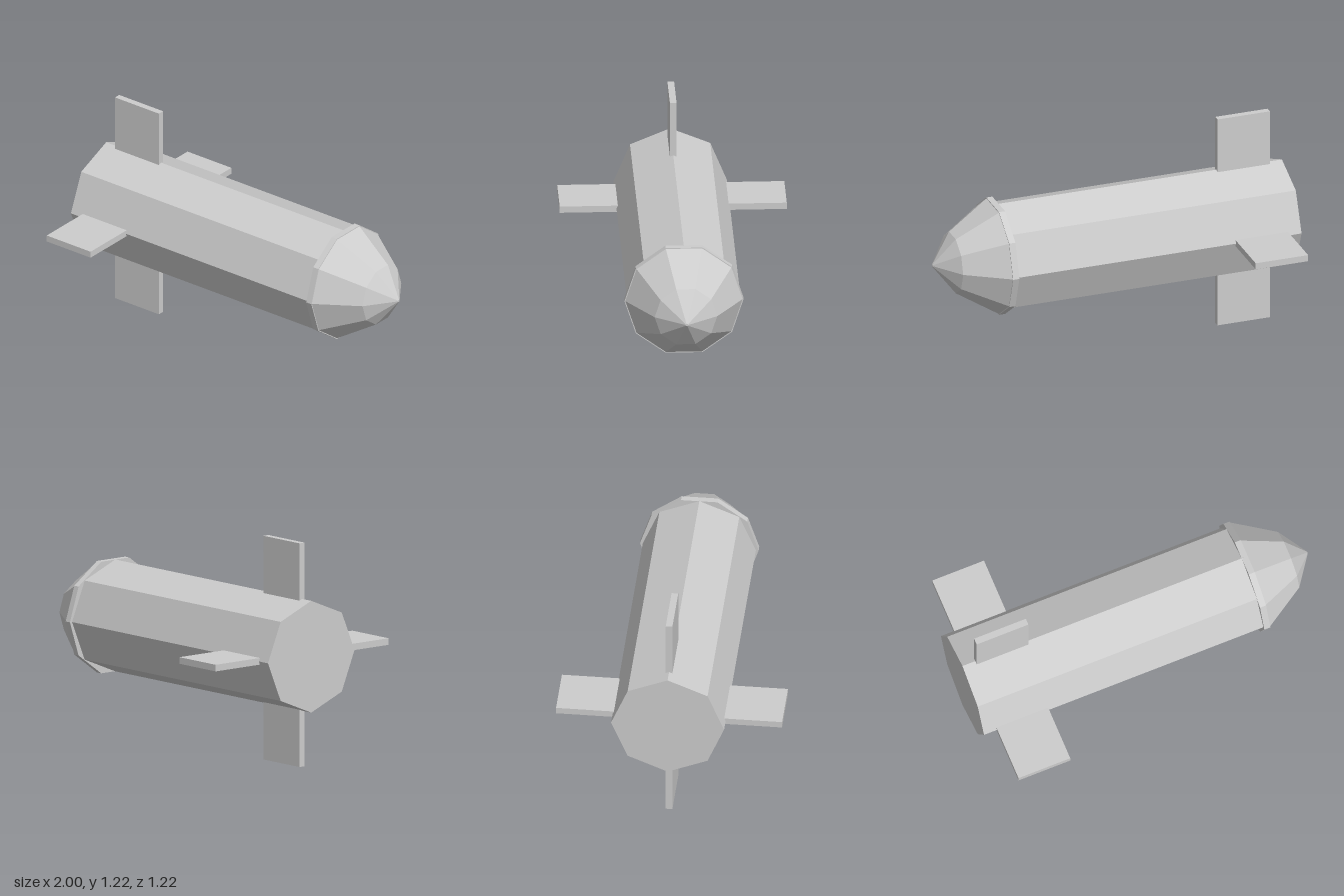
import * as THREE from 'three';

const AXIS_Y = 0.61; // height of the long axis

export function createModel() {
  const model = new THREE.Group();
  model.name = 'rocket';
  const grey = new THREE.MeshStandardMaterial({ color: 0xcccccc, flatShading: true });
  grey.name = 'light grey';

  const add = (name, geometry) => {
    const mesh = new THREE.Mesh(geometry, grey);
    mesh.name = name;
    mesh.position.y = AXIS_Y;
    model.add(mesh);
    return mesh;
  };

  // Faceted section along x, from x0 (radius r0) to x1 (radius r1)
  const section = (name, x0, x1, r0, r1, sides, open = false) => {
    const geometry = new THREE.CylinderGeometry(r1, r0, x1 - x0, sides, 1, open);
    geometry.rotateZ(-Math.PI / 2);
    geometry.translate((x0 + x1) / 2, 0, 0);
    return add(name, geometry);
  };

  // Eight-sided body and ten-sided nose
  section('body', -1, 0.63, 0.305, 0.305, 8);
  section('noseCollar', 0.62, 0.655, 0.32, 0.32, 10);
  section('noseCone', 0.655, 0.885, 0.315, 0.168, 10, true);
  section('noseTip', 0.885, 1, 0.168, 0.007, 10);

  // Four flat tail fins around the body
  const inner = 0.28, outer = 0.61;
  for (let i = 0; i < 4; i++) {
    const geometry = new THREE.BoxGeometry(0.3, outer - inner, 0.036);
    geometry.translate(-0.775, (outer + inner) / 2, 0);
    geometry.rotateX(i * Math.PI / 2);
    add('fin' + (i + 1), geometry);
  }
  return model;
}
